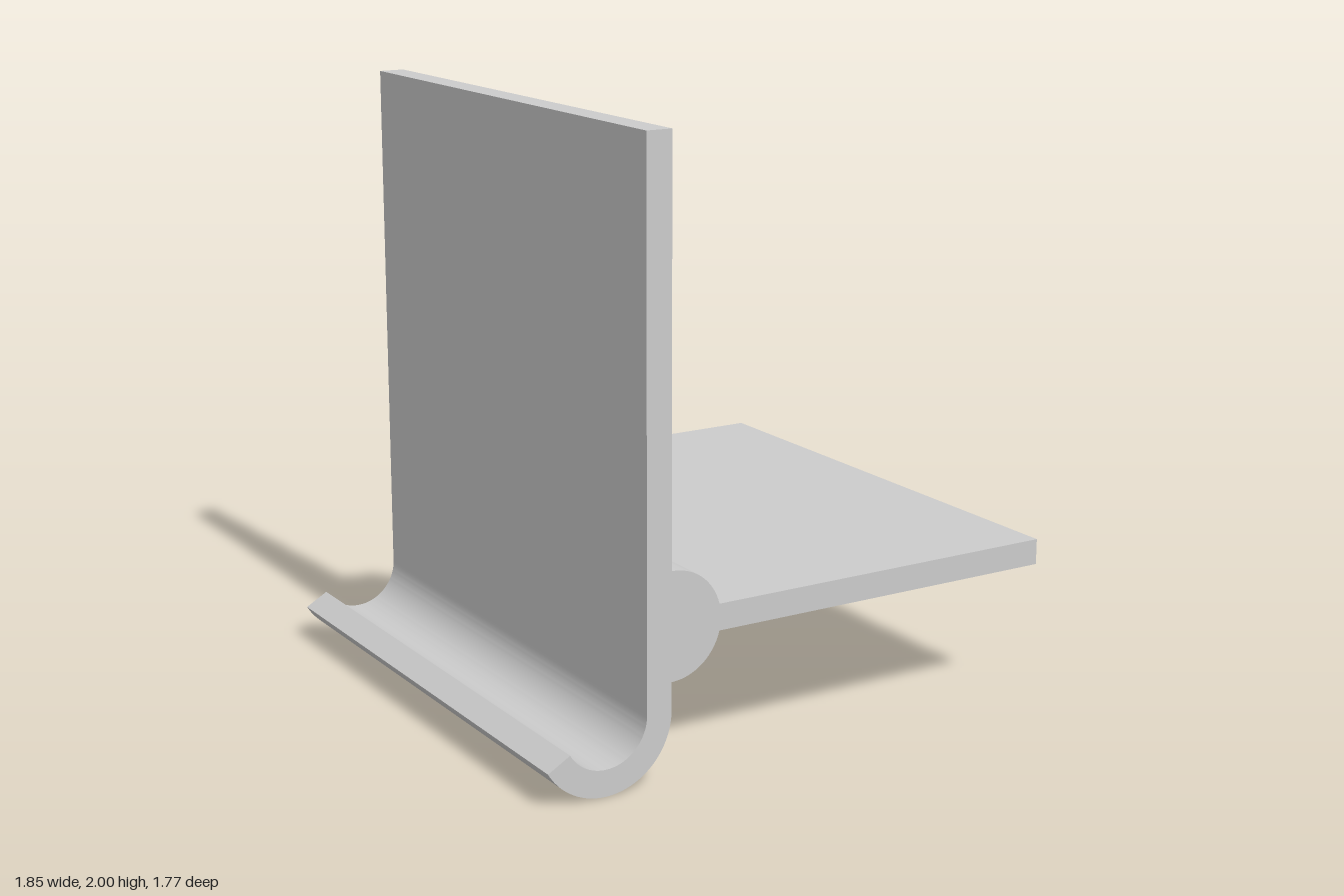
import * as THREE from 'three';
import { toCreasedNormals } from 'three/addons/utils/BufferGeometryUtils.js';

const LENGTH = 1.77;                        // extrusion length along z
const TOP = 2;
const HOOK = { x: -0.725, y: 0.23, outer: 0.23, inner: 0.143 };
const BEAD = { x: HOOK.x + HOOK.outer, y: 0.496, r: 0.176 };
const FLANGE = { end: 0.923, half: 0.043 };

// Closed cross-section, counter-clockwise from the top of the web
function createSection() {
  const s = new THREE.Shape();
  const hookEnd = THREE.MathUtils.degToRad(210);
  const join = Math.asin(FLANGE.half / BEAD.r); // where the flange meets the bead

  // back face of the web, then the curled lip
  s.moveTo(HOOK.x + HOOK.inner, TOP);
  s.lineTo(HOOK.x + HOOK.inner, HOOK.y);
  s.absarc(HOOK.x, HOOK.y, HOOK.inner, 0, hookEnd, true);
  s.absarc(HOOK.x, HOOK.y, HOOK.outer, hookEnd, Math.PI * 2, false);

  // lower half of the bead, flange, upper half of the bead
  s.absarc(BEAD.x, BEAD.y, BEAD.r, -Math.PI / 2, -join, false);
  s.lineTo(FLANGE.end, BEAD.y - FLANGE.half);
  s.lineTo(FLANGE.end, BEAD.y + FLANGE.half);
  s.absarc(BEAD.x, BEAD.y, BEAD.r, join, Math.PI / 2, false);

  // front face of the web
  s.lineTo(BEAD.x, TOP);
  s.closePath();
  return s;
}

export function createModel() {
  const group = new THREE.Group();
  group.name = 'hookedTrimProfile';

  const geometry = new THREE.ExtrudeGeometry(createSection(), {
    depth: LENGTH,
    bevelEnabled: false,
    curveSegments: 24,
  });
  geometry.translate(0, 0, -LENGTH / 2);

  // one solid extrusion: web, hooked lip, bead and flange
  const profile = new THREE.Mesh(
    toCreasedNormals(geometry, Math.PI / 6),
    new THREE.MeshStandardMaterial({ color: 0xcccccc }),
  );
  profile.name = 'extrudedProfile';
  group.add(profile);
  return group;
}
